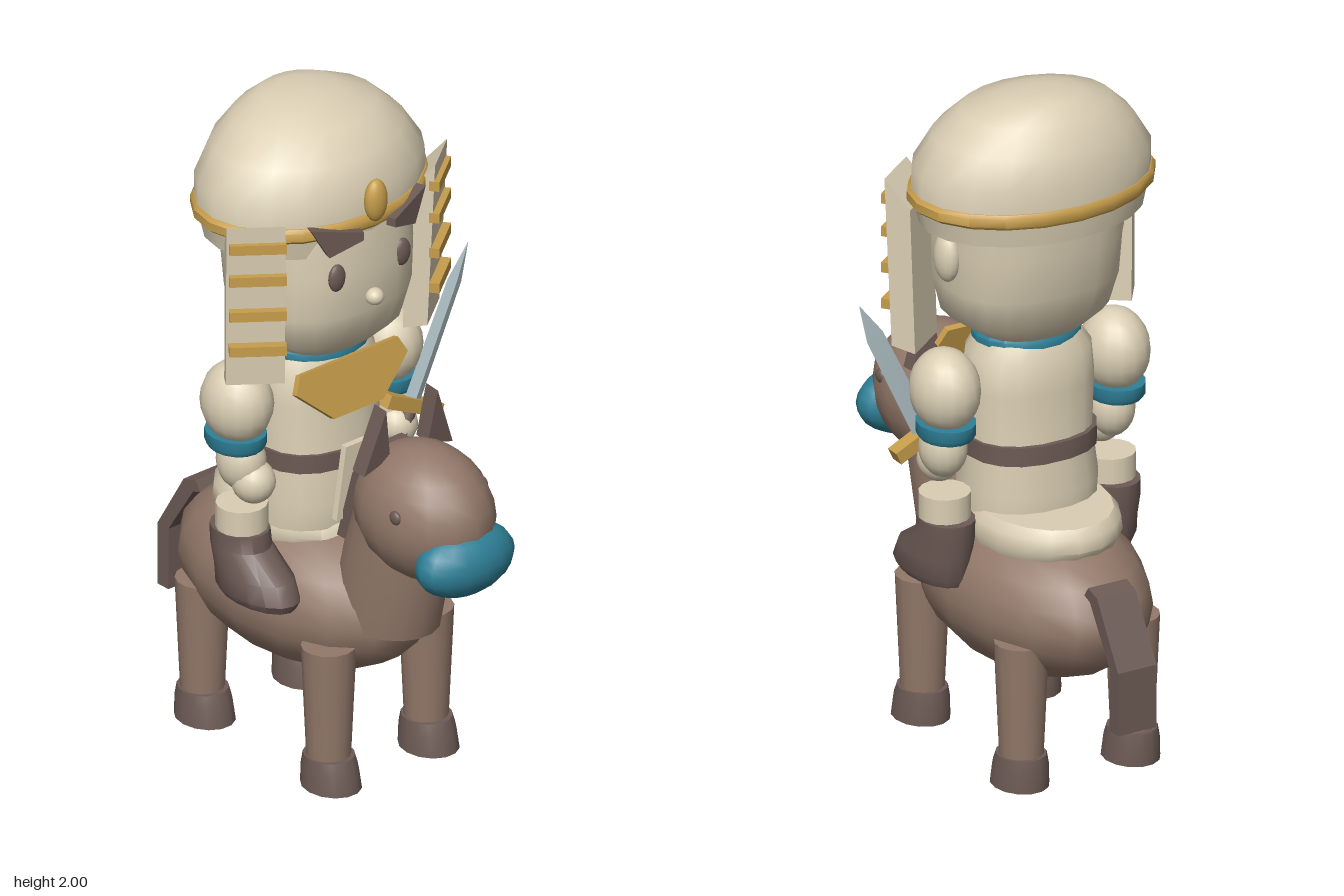
import * as THREE from 'three';
import { toCreasedNormals } from 'three/addons/utils/BufferGeometryUtils.js';

const paint = (name, color) => {
  const m = new THREE.MeshStandardMaterial({ color });
  m.name = name;
  return m;
};

export function createModel() {
  const cream = paint('cream', 0xdbcfb4), brown = paint('brown', 0x927869), dark = paint('darkBrown', 0x6c5a54);
  const gold = paint('gold', 0xc69d4b), teal = paint('teal', 0x2e8097), steel = paint('steel', 0xb2c3c8);

  const root = new THREE.Group();
  root.name = 'mountedRider';
  const model = new THREE.Group();
  model.name = 'riderAndMount';
  model.position.x = -0.053;
  root.add(model);

  const add = (name, geo, mat, x = 0, y = 0, z = 0, parent = model) => {
    const mesh = new THREE.Mesh(geo, mat);
    mesh.name = name;
    mesh.position.set(x, y, z);
    parent.add(mesh);
    return mesh;
  };
  const ball = (name, mat, [x, y, z], [rx, ry, rz], parent) =>
    add(name, new THREE.SphereGeometry(1, 16, 12).scale(rx, ry, rz), mat, x, y, z, parent);

  // Capped solid through horizontal rings [y, halfWidth, zFront, zBack]; power > 2 squares the section
  const loft = (rings, sides = 18, power = 2, crease = 0.75) => {
    const pos = [], idx = [];
    const bend = (v) => Math.sign(v) * Math.abs(v) ** (2 / power);
    for (const [y, rx, zf, zb] of rings) {
      for (let i = 0; i < sides; i++) {
        const a = (i / sides) * Math.PI * 2;
        pos.push(rx * bend(Math.cos(a)), y, (zf + zb) / 2 + ((zf - zb) / 2) * bend(Math.sin(a)));
      }
    }
    const top = (rings.length - 1) * sides, c = rings.length * sides;
    for (const [y, , zf, zb] of [rings[0], rings[rings.length - 1]]) pos.push(0, y, (zf + zb) / 2);
    for (let i = 0; i < sides; i++) {
      const j = (i + 1) % sides;
      for (let k = 0; k < top; k += sides) {
        idx.push(k + i, k + sides + i, k + j, k + j, k + sides + i, k + sides + j);
      }
      idx.push(c, i, j, c + 1, top + j, top + i);
    }
    const g = new THREE.BufferGeometry();
    g.setAttribute('position', new THREE.Float32BufferAttribute(pos, 3));
    g.setIndex(idx);
    return toCreasedNormals(g, crease);
  };

  // Flat plate from an x,y outline, centred in depth
  const plate = (pts, depth) => new THREE.ExtrudeGeometry(
    new THREE.Shape(pts.map(([x, y]) => new THREE.Vector2(x, y))), { depth, bevelEnabled: false }
  ).translate(0, 0, -depth / 2);
  // Side profile in z,y extended across x
  const profile = (pts, width) => plate(pts, width).rotateY(-Math.PI / 2);
  const mirror = (pts, s) => pts.map(([x, y]) => [x * s, y]);

  // Mount: body, neck, head and muzzle
  ball('mountBody', brown, [0, 0.49, -0.1], [0.28, 0.24, 0.45]);
  add('mountNeck', loft([[0.48, 0.138, 0.408, 0.06], [0.7, 0.145, 0.455, 0.12], [0.92, 0.13, 0.47, 0.19]]), brown);
  ball('mountHead', brown, [0, 0.88, 0.4], [0.177, 0.2, 0.228]);
  ball('muzzle', teal, [0, 0.79, 0.57], [0.165, 0.103, 0.096]);
  add('mane', profile([[0.27, 1.03], [0.23, 1.03], [0.165, 0.92], [0.1, 0.7], [0.16, 0.7], [0.22, 0.92]], 0.125), dark);
  add('tail', profile([[-0.48, 0.6], [-0.5, 0.63], [-0.55, 0.615], [-0.662, 0.43], [-0.662, 0.24],
    [-0.615, 0.24], [-0.615, 0.43], [-0.51, 0.59]], 0.125), dark);
  for (const s of [1, -1]) {
    const ear = add('mountEar', plate(mirror([[0.07, -0.16], [0.163, -0.19], [0.095, 0]], s), 0.05), dark, 0, 1.2, 0.322);
    ear.rotation.x = 0.08;
    ball('mountEye', dark, [s * 0.16, 0.93, 0.46], [0.012, 0.021, 0.021]);
    for (const z of [0.2, -0.335]) {
      add('mountLeg', new THREE.CylinderGeometry(0.078, 0.062, 0.36, 14), brown, s * 0.18, 0.255, z);
      add('hoof', loft([[0, 0.08, 0.105, -0.085], [0.06, 0.077, 0.092, -0.082], [0.095, 0.07, 0.078, -0.076]], 14),
        dark, s * 0.18, 0, z);
    }
  }
  add('saddle', loft([[0.66, 0.2, 0.1, -0.39], [0.69, 0.21, 0.12, -0.41], [0.73, 0.205, 0.11, -0.405],
    [0.755, 0.185, 0.09, -0.385]]), cream);

  // Rider: torso, belt and collars
  add('tunic', loft([[0.72, 0.195, 0.1, -0.235], [0.8, 0.2, 0.11, -0.24], [0.93, 0.185, 0.09, -0.22],
    [1.1, 0.19, 0.085, -0.222], [1.2, 0.18, 0.075, -0.217], [1.26, 0.14, 0.05, -0.185]], 18, 2.3), cream);
  add('belt', loft([[0.9, 0.195, 0.1, -0.238], [0.955, 0.195, 0.1, -0.236]], 18, 2.3), dark);
  add('neckBand', loft([[1.235, 0.16, 0.075, -0.2], [1.255, 0.162, 0.075, -0.2], [1.285, 0.14, 0.06, -0.18]]), teal);
  const chest = add('chestCollar', plate([[-0.18, 0.08], [0.18, 0.08], [0.205, 0.03], [0.09, -0.075], [-0.09, -0.075],
    [-0.205, 0.03]], 0.02), gold, 0, 1.152, 0.092);
  chest.rotation.x = -0.28;
  add('frontPanel', plate([[-0.05, 0.98], [-0.085, 0.76], [0.085, 0.76], [0.05, 0.98]], 0.02), cream, 0, 0, 0.115);
  add('panelMark', plate([[-0.028, 0.86], [0.028, 0.86], [0, 0.905]], 0.008), dark, 0, 0, 0.128);

  // Head and face
  add('head', loft([[1.265, 0.155, 0.09, -0.2], [1.32, 0.235, 0.145, -0.245], [1.42, 0.257, 0.175, -0.28],
    [1.55, 0.26, 0.183, -0.3], [1.7, 0.26, 0.17, -0.31]], 20, 2.5, 1.1), cream);
  ball('nose', cream, [0, 1.465, 0.188], [0.027, 0.025, 0.027]);
  const browShape = [[-0.08, 0.05], [0.08, -0.01 + 0.025], [0.08, -0.01], [-0.025, -0.045]];

  // Headdress: lower rim, dome, band and jewel
  add('headdressRim', loft([[1.62, 0.335, 0.165, -0.342], [1.7, 0.355, 0.178, -0.353]], 20), cream);
  add('headdressDome', loft([[1.7, 0.358, 0.178, -0.354], [1.79, 0.357, 0.178, -0.355], [1.88, 0.3, 0.135, -0.33],
    [1.95, 0.225, 0.065, -0.285], [1.99, 0.12, -0.04, -0.24], [2, 0.05, -0.1, -0.2]], 20, 2, 1.1), cream);
  add('headdressBand', loft([[1.68, 0.358, 0.181, -0.357], [1.69, 0.37, 0.19, -0.364], [1.715, 0.37, 0.19, -0.364],
    [1.725, 0.36, 0.182, -0.358]], 20), gold);
  ball('jewel', gold, [0, 1.77, 0.193], [0.037, 0.065, 0.028]);

  for (const s of [1, -1]) {
    ball('eye', dark, [s * 0.12, 1.555, 0.166], [0.029, 0.042, 0.016]);
    ball('ear', cream, [s * 0.265, 1.525, -0.075], [0.035, 0.075, 0.047]);
    const brow = add('browOrnament', plate(mirror(browShape, -s), 0.03), dark, s * 0.13, 1.68, 0.172);
    brow.rotation.y = s * 0.3;

    // Hanging side panel with gold bars
    const lappet = new THREE.Group();
    lappet.name = 'headdressLappet';
    lappet.position.set(s * 0.318, 0, 0.055);
    lappet.rotation.y = s * 0.65;
    model.add(lappet);
    add('lappetPanel', profile([[0.032, 1.755], [-0.045, 1.67], [-0.06, 1.235], [0.01, 1.25]], 0.165), cream, s * 0.005, 0, 0, lappet);
    for (const y of [1.69, 1.59, 1.48, 1.37]) {
      add('lappetBar', new THREE.BoxGeometry(0.16, 0.03, 0.03), gold, 0, y, 0.03, lappet);
    }

    // Arms
    ball('sleeve', cream, [s * 0.275, 1.125, -0.08], [0.098, 0.122, 0.112]);
    add('cuff', loft([[0.985, 0.074, 0, -0.17], [1.0, 0.082, 0.01, -0.18], [1.032, 0.082, 0.01, -0.18]], 16), teal, s * 0.275);
    ball('forearm', cream, [s * 0.272, 0.945, -0.065], [0.068, 0.09, 0.075]);
    ball('hand', cream, [s * 0.262, 0.89, -0.025], [0.062, 0.065, 0.065]);

    // Legs and boots
    add('riderLeg', new THREE.CylinderGeometry(0.074, 0.074, 0.12, 14), cream, s * 0.268, 0.75, -0.067);
    add('boot', loft([[0.54, 0.075, 0.14, -0.14], [0.565, 0.09, 0.152, -0.15], [0.62, 0.086, 0.125, -0.156],
      [0.685, 0.08, 0.025, -0.165], [0.735, 0.078, 0.018, -0.168]], 16), dark, s * 0.268);
  }

  // Sword in the left hand
  const sword = new THREE.Group();
  sword.name = 'sword';
  sword.position.set(0.286, 0.955, 0.012);
  sword.rotation.z = -0.45;
  model.add(sword);
  add('blade', loft([[0, 0.032, 0.014, -0.014], [0.37, 0.028, 0.011, -0.011], [0.485, 0.001, 0.001, -0.001]], 4, 2, 0.1),
    steel, 0, 0, 0, sword);
  add('guard', new THREE.BoxGeometry(0.215, 0.04, 0.045), gold, 0, 0, 0, sword);
  add('grip', new THREE.CylinderGeometry(0.022, 0.028, 0.13, 8), dark, 0, -0.075, 0, sword);

  return root;
}
